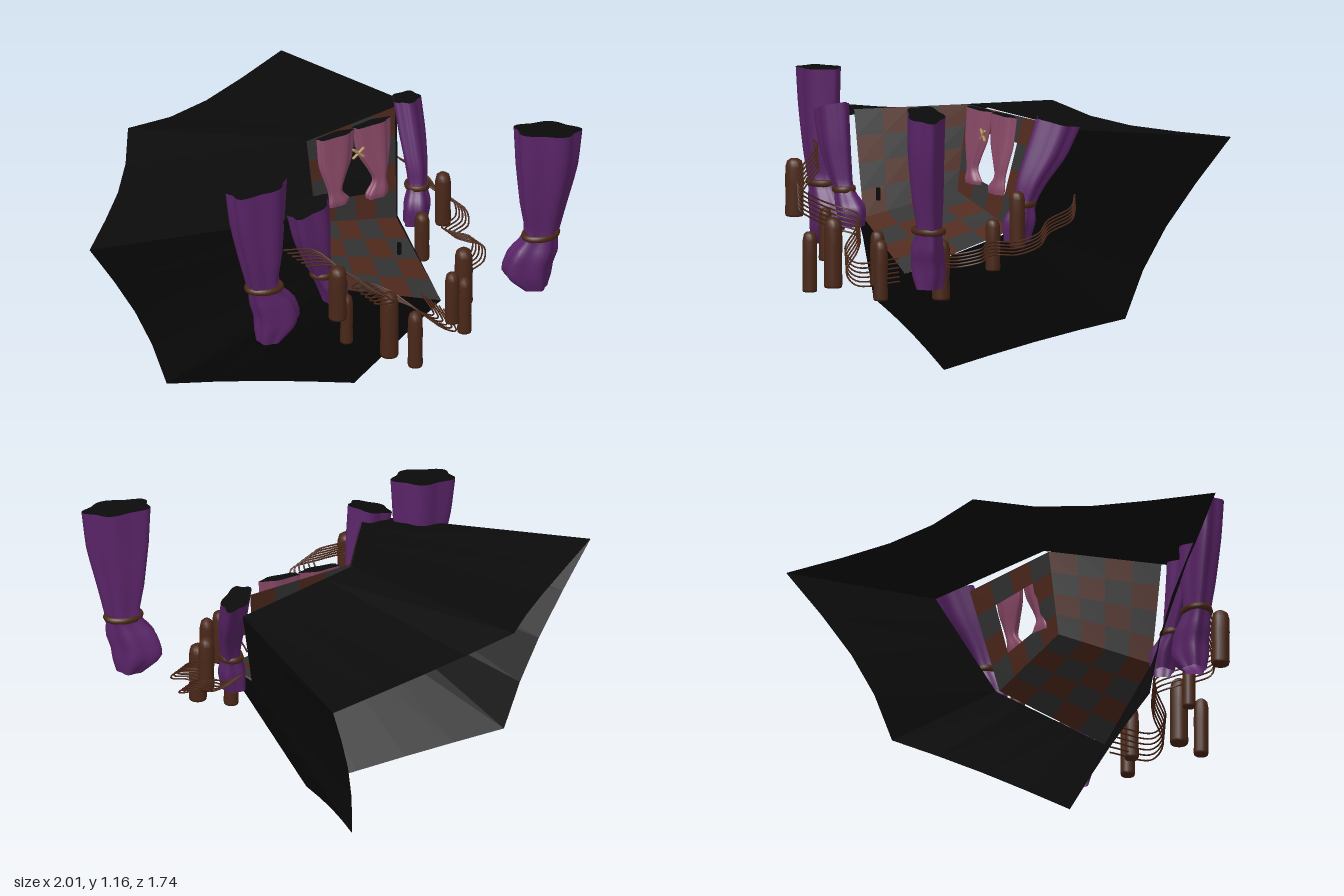
import * as THREE from 'three';

const V = (a) => new THREE.Vector3(...a);
const mat = (color) => new THREE.MeshStandardMaterial({ color, side: THREE.DoubleSide });
const black = mat(0x0b0b0b), brown = mat(0x50291d), grey = mat(0x343434);
const purple = mat(0x5a2468), pink = mat(0x8a4a68), tan = mat(0xb08a55), bark = mat(0x4a2718);

function add(group, name, geometry, material) {
  const m = new THREE.Mesh(geometry, material);
  m.name = name;
  group.add(m);
  return m;
}

// Triangles from a list of corner quads
function quadGeometry(quads) {
  const p = [];
  for (const [a, b, c, d] of quads) for (const v of [a, b, c, a, c, d]) p.push(v.x, v.y, v.z);
  const g = new THREE.BufferGeometry();
  g.setAttribute('position', new THREE.Float32BufferAttribute(p, 3));
  g.computeVertexNormals();
  return g;
}

// Checkered panel stretched between four corners, with optional missing cells
function checker(group, name, corners, n = 4, hole = () => false) {
  const [a, b, c, d] = corners.map(V);
  const at = (u, v) => a.clone().lerp(b, u).lerp(d.clone().lerp(c, u), v);
  const sets = [[], []];
  for (let i = 0; i < n; i++) for (let j = 0; j < n; j++) {
    if (hole(i, j)) continue;
    sets[(i + j) % 2].push([at(i / n, j / n), at((i + 1) / n, j / n), at((i + 1) / n, (j + 1) / n), at(i / n, (j + 1) / n)]);
  }
  add(group, name + 'BrownTiles', quadGeometry(sets[0]), brown);
  add(group, name + 'GreyTiles', quadGeometry(sets[1]), grey);
}

// Gathered cloth: stations are [y, x, z, halfWidth, halfDepth], lofted with folds
function curtain(group, name, stations, material, { turn = 0, tilt = 0, folds = 5, tie = -1 } = {}) {
  const g = new THREE.Group();
  g.name = name;
  const path = new THREE.CatmullRomCurve3(stations.map((s) => new THREE.Vector3(s[1], s[0], s[2])));
  const size = new THREE.CatmullRomCurve3(stations.map((s) => new THREE.Vector3(s[3], s[4], 0)));
  const R = 18, N = 40, pos = [], idx = [];
  for (let i = 0; i <= R; i++) {
    const t = i / R, c = path.getPoint(t), s = size.getPoint(t);
    for (let j = 0; j < N; j++) {
      const a = (j / N) * Math.PI * 2, f = 1 + 0.1 * Math.cos(folds * a + 0.6);
      const x = Math.cos(a) * s.x * f, z = Math.sin(a) * s.y * f;
      pos.push(c.x + x * Math.cos(turn) + z * Math.sin(turn), c.y + x * tilt * (1 - t), c.z - x * Math.sin(turn) + z * Math.cos(turn));
      if (i < R) {
        const p = i * N + j, q = i * N + ((j + 1) % N);
        idx.push(p, q, p + N, q, q + N, p + N);
      }
    }
  }
  const geo = new THREE.BufferGeometry();
  geo.setAttribute('position', new THREE.Float32BufferAttribute(pos, 3));
  geo.setIndex(idx);
  geo.computeVertexNormals();
  add(g, 'cloth', geo, material);
  // dark top
  const rim = [];
  for (let j = 0; j < N; j++) rim.push(V(pos.slice(j * 3, j * 3 + 3)));
  const mid = V([stations[0][1], stations[0][0], stations[0][2]]);
  add(g, 'top', quadGeometry(rim.map((v, j) => [mid, rim[(j + 1) % N], v, mid])), black);
  // tie band
  if (tie >= 0) {
    const [y, x, z, w, d] = stations[tie];
    const band = add(g, 'tie', new THREE.TorusGeometry(1, 0.2, 8, 28), bark);
    band.rotation.set(Math.PI / 2, 0, turn, 'YXZ');
    band.scale.set(w * 1.05, d * 1.1, 0.07);
    band.position.set(x, y, z);
  }
  group.add(g);
}

// Bundle of thin strands following one path, fanned sideways
function strands(group, name, points, count, spread) {
  const g = new THREE.Group();
  g.name = name;
  for (let k = 0; k < count; k++) {
    const o = (k - (count - 1) / 2) * spread;
    const curve = new THREE.CatmullRomCurve3(points.map(([x, y, z]) => new THREE.Vector3(x + o, y - o * 0.9, z + o * 0.3)));
    add(g, 'strand', new THREE.TubeGeometry(curve, 80, 0.0035, 5), bark);
  }
  group.add(g);
}

export function createModel() {
  const model = new THREE.Group();

  // Dark funnel: star-shaped outer rim joined to the room's rim
  const outer = [[0.18, 0.01, 0.27], [-0.62, 0.17, 0.27], [-1, 0.9, 0.39], [-0.49, 0.94, -0.43], [0.35, 0.9, -0.87], [0.18, 0.17, -0.49]].map(V);
  const inner = [[0.44, 0.45, 0.53], [-0.03, 0.6, 0.53], [-0.14, 0.99, 0.63], [0.04, 1.04, 0.1], [0.54, 1.0, -0.15], [0.45, 0.6, 0.07]].map(V);
  const centre = V([-0.2, 0.55, -0.1]), quads = [], S = 4;
  for (let i = 0; i < 6; i++) {
    const j = (i + 1) % 6, bow = i === 0 || i === 5 ? 0.01 : 0.05;
    const at = (u, v) => {
      const o = outer[i].clone().lerp(outer[j], u);
      o.add(centre.clone().sub(o).setLength(bow * 4 * u * (1 - u)));
      return o.lerp(inner[i].clone().lerp(inner[j], u), v);
    };
    for (let k = 0; k < S; k++) quads.push([at(k / S, 0), at((k + 1) / S, 0), at((k + 1) / S, 1), at(k / S, 1)]);
  }
  add(model, 'darkShell', quadGeometry(quads), black);

  // Room corner
  const corner = [0.06, 0.7, 0.17], cornerTop = [0.04, 1.04, 0.12];
  const room = new THREE.Group();
  room.name = 'room';
  checker(room, 'floor', [[-0.03, 0.6, 0.53], [0.44, 0.45, 0.53], [0.44, 0.6, 0.08], corner]);
  checker(room, 'leftWall', [[-0.03, 0.6, 0.53], corner, cornerTop, [-0.11, 1.02, 0.54]]);
  checker(room, 'backWall', [corner, [0.44, 0.6, 0.08], [0.48, 1.03, -0.03], cornerTop], 4,
    (i, j) => (i === 1 || i === 2) && (j === 1 || j === 2));
  add(room, 'smallPost', new THREE.BoxGeometry(0.014, 0.05, 0.014), black).position.set(0.245, 0.74, 0.57);
  model.add(room);

  // Window curtains and crossed ornament
  curtain(model, 'windowCurtainLeft', [[1.04, 0.165, 0.115, 0.085, 0.022], [0.93, 0.16, 0.125, 0.075, 0.022],
    [0.85, 0.155, 0.135, 0.045, 0.02], [0.8, 0.155, 0.14, 0.03, 0.018], [0.76, 0.165, 0.14, 0.05, 0.022], [0.745, 0.165, 0.14, 0.048, 0.02]], pink, { turn: 0.2 });
  curtain(model, 'windowCurtainRight', [[1.04, 0.335, 0.075, 0.085, 0.022], [0.93, 0.34, 0.085, 0.075, 0.022],
    [0.85, 0.355, 0.095, 0.045, 0.02], [0.8, 0.36, 0.1, 0.03, 0.018], [0.75, 0.345, 0.11, 0.05, 0.022], [0.73, 0.345, 0.11, 0.048, 0.02]], pink, { turn: 0.2 });
  for (const s of [-1, 1]) {
    const bar = add(model, 'crossBar', new THREE.CapsuleGeometry(0.006, 0.055, 4, 8), tan);
    bar.position.set(0.255, 0.95, 0.135);
    bar.rotation.z = s * 0.85;
  }

  // Large tied curtains
  curtain(model, 'frontRightCurtain', [[1.155, 0.865, 0.6, 0.13, 0.07], [1.0, 0.86, 0.6, 0.118, 0.068], [0.82, 0.85, 0.59, 0.088, 0.06],
    [0.69, 0.845, 0.58, 0.066, 0.048], [0.61, 0.81, 0.575, 0.095, 0.062], [0.53, 0.79, 0.565, 0.095, 0.065], [0.455, 0.82, 0.57, 0.05, 0.05]],
  purple, { turn: -0.2, tilt: -0.1, tie: 3 });
  curtain(model, 'frontLeftCurtain', [[1.15, -0.37, 0.59, 0.125, 0.072], [1.0, -0.365, 0.59, 0.112, 0.068], [0.82, -0.35, 0.59, 0.085, 0.06],
    [0.7, -0.34, 0.59, 0.064, 0.048], [0.62, -0.3, 0.585, 0.09, 0.06], [0.54, -0.28, 0.585, 0.092, 0.062], [0.46, -0.32, 0.59, 0.045, 0.045]],
  purple, { turn: 0.1, tilt: 0.08, tie: 3 });
  curtain(model, 'innerLeftCurtain', [[1.03, -0.16, 0.615, 0.085, 0.06], [0.9, -0.14, 0.61, 0.075, 0.055], [0.79, -0.115, 0.6, 0.055, 0.045],
    [0.71, -0.09, 0.59, 0.042, 0.036], [0.64, -0.04, 0.58, 0.06, 0.055], [0.57, -0.03, 0.575, 0.045, 0.045]],
  purple, { turn: 0.15, tilt: 0.3, tie: 3 });
  curtain(model, 'backRightCurtain', [[1.04, 0.545, -0.07, 0.085, 0.052], [0.92, 0.545, -0.02, 0.078, 0.05], [0.8, 0.54, 0.04, 0.055, 0.042],
    [0.72, 0.535, 0.065, 0.042, 0.036], [0.65, 0.525, 0.085, 0.062, 0.05], [0.57, 0.515, 0.09, 0.05, 0.045]],
  purple, { turn: 0.95, tilt: -0.2, tie: 3 });

  // Wooden posts: [x, z, bottom, top, radius]
  const posts = [[-0.11, 0.79, 0.61, 0.84, 0.037], [-0.03, 0.69, 0.44, 0.65, 0.026], [0.14, 0.72, 0.36, 0.64, 0.037],
    [0.2, 0.84, 0.36, 0.6, 0.03], [0.44, 0.645, 0.41, 0.63, 0.029], [0.49, 0.65, 0.36, 0.6, 0.029],
    [0.58, 0.43, 0.365, 0.605, 0.036], [0.505, 0.185, 0.455, 0.66, 0.03], [0.62, 0.125, 0.56, 0.785, 0.032]];
  posts.forEach(([x, z, y0, y1, r], n) => {
    const h = y1 - y0, profile = [[0, 0], [0.92, 0], [1, 0.04], [0.95, 0.35], [1, 0.6], [0.96, 0.85], [0.8, 0.95], [0.45, 0.99], [0, 1]];
    const post = add(model, 'post', new THREE.LatheGeometry(profile.map(([a, b]) => new THREE.Vector2(a * r, b * h)), 14), bark);
    post.position.set(x, y0, z);
    post.rotation.y = n;
  });

  // Loose strands strung between the posts
  strands(model, 'frontStrands', [[-0.24, 0.84, 0.66], [-0.12, 0.83, 0.69], [-0.04, 0.77, 0.78], [0.06, 0.71, 0.835], [0.06, 0.66, 0.76],
    [0.05, 0.62, 0.67], [0.12, 0.6, 0.61], [0.22, 0.56, 0.65], [0.31, 0.49, 0.73], [0.38, 0.45, 0.71], [0.4, 0.46, 0.54]], 6, 0.017);
  strands(model, 'sideStrands', [[0.56, 0.72, -0.14], [0.62, 0.68, -0.1], [0.64, 0.64, 0], [0.71, 0.6, 0.07], [0.69, 0.57, 0.15],
    [0.61, 0.56, 0.2], [0.64, 0.56, 0.26], [0.69, 0.55, 0.3], [0.66, 0.53, 0.38], [0.59, 0.52, 0.42]], 5, 0.012);

  return model;
}
